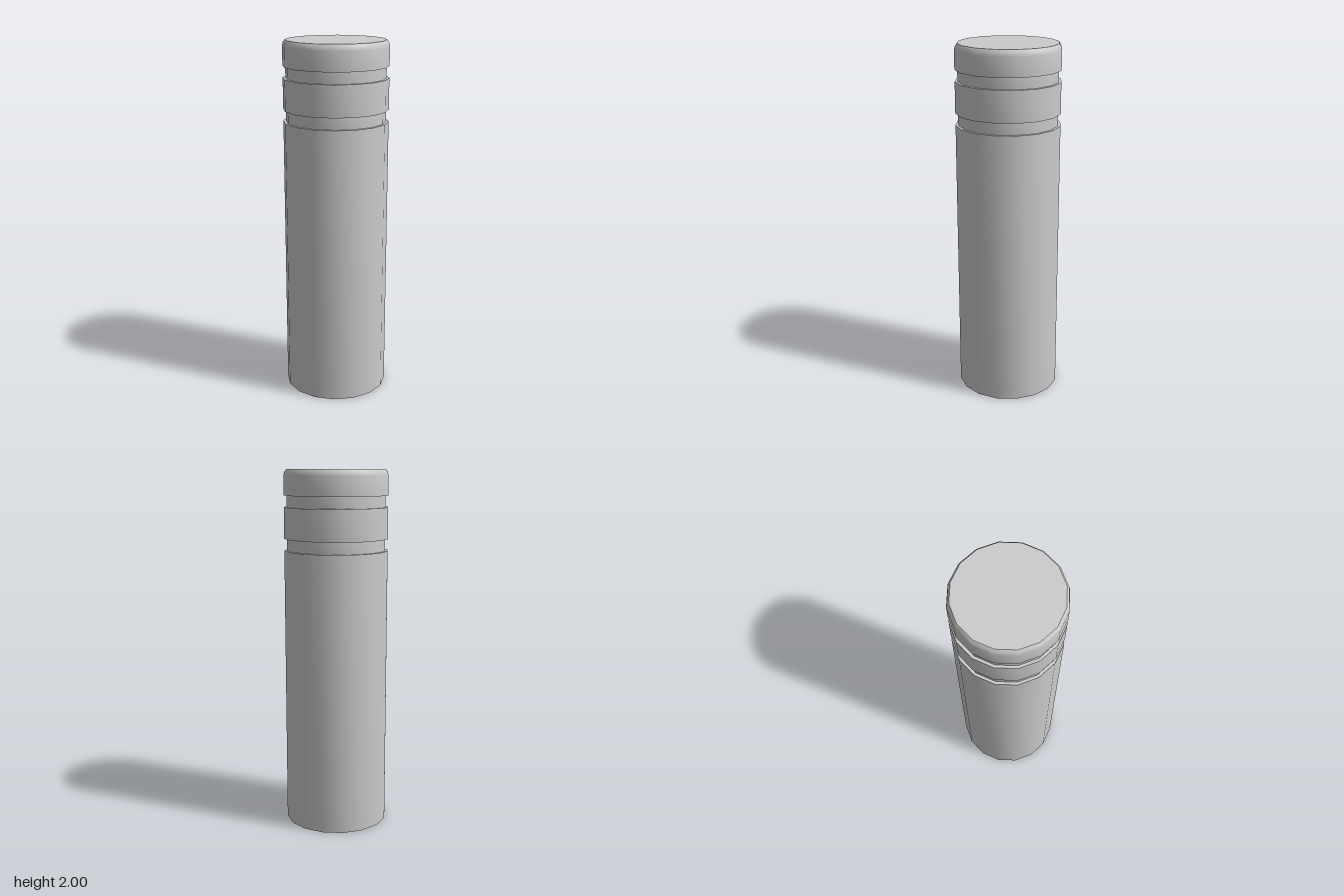
import * as THREE from 'three';
import { toCreasedNormals } from 'three/addons/utils/BufferGeometryUtils.js';

const SIDES = 16;
const R = 0.29; // outer radius
const G = 0.275; // groove radius

export function createModel() {
  const group = new THREE.Group();
  const material = new THREE.MeshStandardMaterial({ color: 0xcccccc, side: THREE.DoubleSide });

  // Revolve a [radius, height] profile, listed from bottom to top
  function turned(name, profile) {
    const points = profile.map(([r, y]) => new THREE.Vector2(r, y));
    const geometry = toCreasedNormals(new THREE.LatheGeometry(points, SIDES), 0.6);
    const mesh = new THREE.Mesh(geometry, material);
    mesh.name = name;
    group.add(mesh);
  }

  // Post, open at the bottom, with the ledge under the lower groove
  turned('post', [[R, 0], [R, 1.56], [G, 1.56]]);
  turned('lowerGroove', [[G, 1.56], [G, 1.625]]);

  // Raised band between the grooves
  turned('band', [[G, 1.625], [R, 1.625], [R, 1.797], [G, 1.797]]);
  turned('upperGroove', [[G, 1.797], [G, 1.86]]);

  // Cap with a softened rim and flat top
  turned('cap', [[G, 1.86], [R, 1.86], [R, 1.965], [0.286, 1.985], [0.275, 2], [0, 2]]);

  return group;
}
